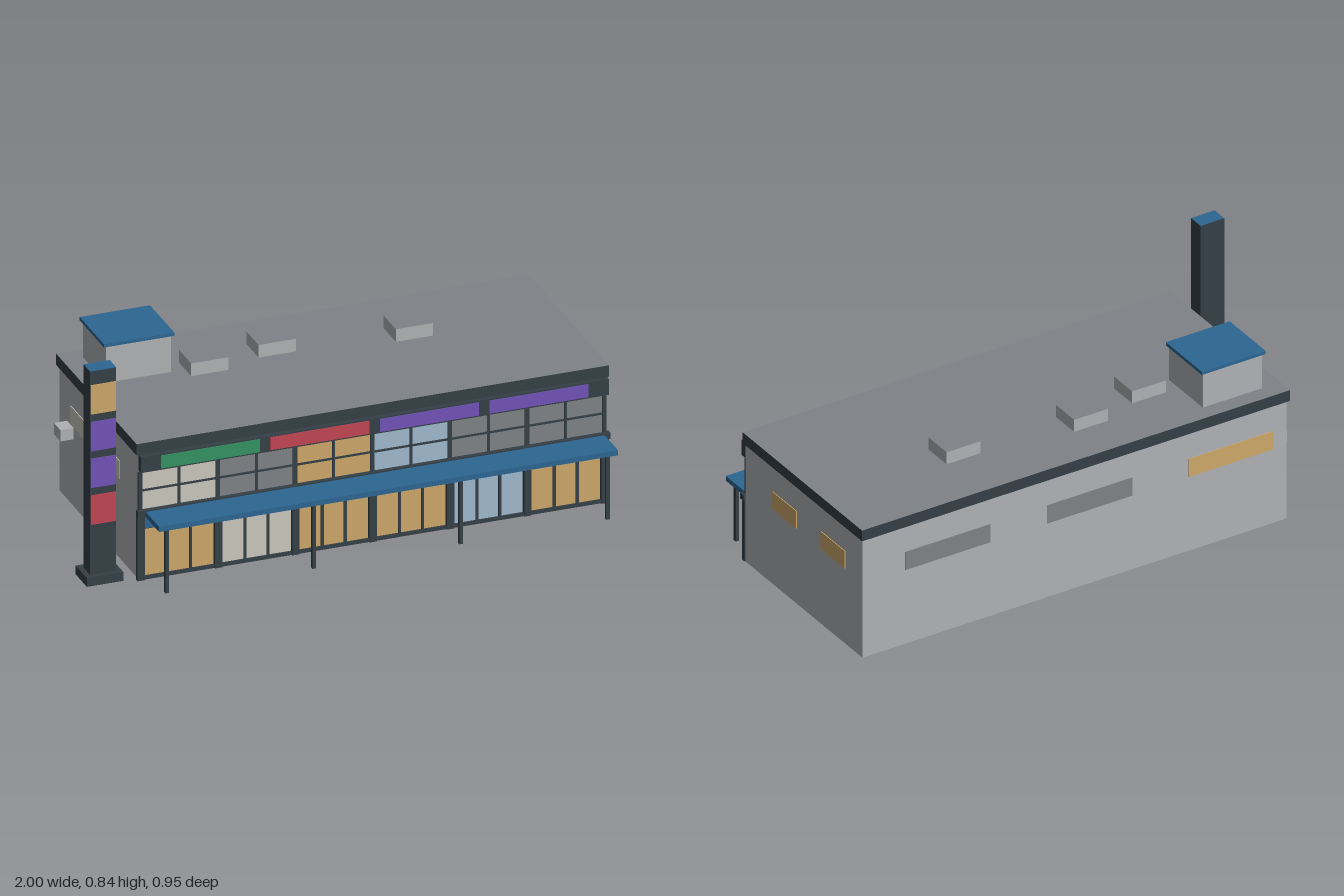
import * as THREE from 'three';

const mat = (name, color) => {
  const m = new THREE.MeshStandardMaterial({ color });
  m.name = name;
  return m;
};

export function createModel() {
  const wall = mat('wall grey', 0xb0b1b4);
  const roof = mat('roof grey', 0x7f8286);
  const dark = mat('dark metal', 0x343f46);
  const blue = mat('blue', 0x2c6692);
  const amber = mat('amber', 0xcda869);
  const cream = mat('cream', 0xcac6bc);
  const sky = mat('pale blue', 0x9fb8cb);
  const green = mat('green', 0x33926280 >>> 8);
  const red = mat('red', 0xc04553);
  const purple = mat('purple', 0x7253b8);

  const model = new THREE.Group();
  model.name = 'shopBuilding';

  // box given by its limits on each axis
  const box = (name, m, x0, x1, y0, y1, z0, z1, parent = model) => {
    const mesh = new THREE.Mesh(new THREE.BoxGeometry(x1 - x0, y1 - y0, z1 - z0), m);
    mesh.name = name;
    mesh.position.set((x0 + x1) / 2, (y0 + y1) / 2, (z0 + z1) / 2);
    parent.add(mesh);
    return mesh;
  };
  const group = (name) => {
    const g = new THREE.Group();
    g.name = name;
    model.add(g);
    return g;
  };
  // box materials with a different top and bottom
  const capped = (side, top, bottom = top) => [side, side, top, bottom, side, side];

  // hollow shell, open below
  const L = -0.805, R = 0.99, B = -0.465, F = 0.32, T = 0.004;
  const shell = group('walls');
  box('frontWall', wall, L, R, 0, 0.495, F - T, F, shell);
  box('backWall', wall, L, R, 0, 0.495, B, B + T, shell);
  box('leftWall', wall, R - T, R, 0, 0.495, B + T, F - T, shell);
  box('rightWall', wall, L, L + T, 0, 0.495, B + T, F - T, shell);
  box('roofSlab', capped(dark, roof), -0.814, 0.998, 0.495, 0.54, -0.475, 0.327);

  // shop front: six bays, each with glazing and a sign
  const front = group('shopFront');
  box('frontBacking', dark, -0.8, 0.985, 0, 0.435, F, 0.322, front);
  box('floorBand', dark, -0.814, 0.998, 0.255, 0.278, F, 0.342, front);
  box('signFascia', dark, L, R, 0.433, 0.495, F, 0.347, front);
  box('sill', dark, -0.8, 0.985, 0, 0.014, 0.322, 0.332, front);
  box('windowHead', dark, -0.8, 0.985, 0.427, 0.433, 0.322, 0.33, front);
  const start = -0.8, pitch = 0.2965;
  const upper = [cream, roof, amber, sky, roof, roof];
  const lower = [amber, cream, amber, amber, sky, amber];
  const signs = [blue, amber, purple, green, cream, purple];
  for (let i = 0; i <= 6; i++) {
    const x = start + pitch * i;
    box('groundPost', dark, x - 0.014, x + 0.014, 0, 0.255, F, 0.337, front);
    box('upperPost', dark, x - 0.008, x + 0.008, 0.278, 0.428, F, 0.33, front);
    if (i === 6) break;
    const c = x + pitch / 2;
    box('shopGlass', lower[i], c - 0.133, c + 0.133, 0.014, 0.196, 0.322, 0.325, front);
    box('shopSign', signs[i], c - 0.131, c + 0.131, 0.202, 0.255, 0.322, 0.33, front);
    for (const s of [-1, 1]) {
      const mx = c + s * 0.044;
      box('shopMullion', dark, mx - 0.005, mx + 0.005, 0.014, 0.196, 0.325, 0.331, front);
    }
    box('upperGlass', upper[i], c - 0.141, c + 0.141, 0.278, 0.427, 0.322, 0.325, front);
    box('upperMullion', dark, c - 0.005, c + 0.005, 0.278, 0.427, 0.325, 0.329, front);
    box('upperTransom', dark, c - 0.141, c + 0.141, 0.349, 0.357, 0.325, 0.328, front);
  }

  // coloured panels on the upper fascia
  [green, red, purple, purple].forEach((m, i) => {
    const x = -0.73 + i * 0.42;
    box('fasciaSign', m, x, x + 0.38, 0.439, 0.49, 0.347, 0.35, front);
  });

  // canopy on thin posts
  const canopy = group('canopy');
  box('canopyRoof', blue, -0.785, 0.975, 0.253, 0.273, 0.315, 0.475, canopy);
  // blue edge covering the front of the floor band
  for (let i = 0; i < 4; i++) {
    const x = -0.75 + i * 0.5633;
    box('canopyPost', dark, x - 0.007, x + 0.007, 0, 0.253, 0.452, 0.466, canopy);
  }

  // flat windows on the sides and back
  const windows = group('wallWindows');
  for (const [z0, z1] of [[-0.025, 0.135], [-0.35, -0.19]]) {
    box('leftWindow', amber, R, R + 0.003, 0.315, 0.388, z0, z1, windows);
    box('rightWindow', cream, L - 0.003, L, 0.315, 0.388, z0, z1, windows);
  }
  [[0.45, roof], [-0.15, roof], [-0.75, amber]].forEach(([x, m]) =>
    box('backWindow', m, x, x + 0.36, 0.31, 0.385, B - 0.003, B, windows));

  // stair house and service units
  const top = group('roofEquipment');
  box('stairHouse', wall, -0.735, -0.485, 0.54, 0.685, -0.41, -0.185, top);
  box('stairHouseRoof', blue, -0.745, -0.475, 0.685, 0.698, -0.42, -0.178, top);
  for (const [x, z] of [[-0.43, -0.25], [-0.15, -0.305], [0.355, -0.25]]) {
    box('roofUnit', capped(wall, roof), x, x + 0.143, 0.54, 0.59, z, z + 0.122, top);
  }
  box('wallUnit', wall, -0.855, L, 0.265, 0.31, -0.39, -0.325);

  // free-standing sign tower
  const tower = group('signTower');
  box('towerBase', dark, -1, -0.86, 0, 0.035, 0.203, 0.314, tower);
  box('towerShaft', capped(dark, blue, dark), -0.98, -0.88, 0.035, 0.843, 0.23, 0.295, tower);
  [red, purple, purple, amber].forEach((m, i) => {
    const y = 0.235 + i * 0.146;
    box('towerPanel', m, -0.978, -0.882, y, y + 0.116, 0.295, 0.298, tower);
  });

  return model;
}
